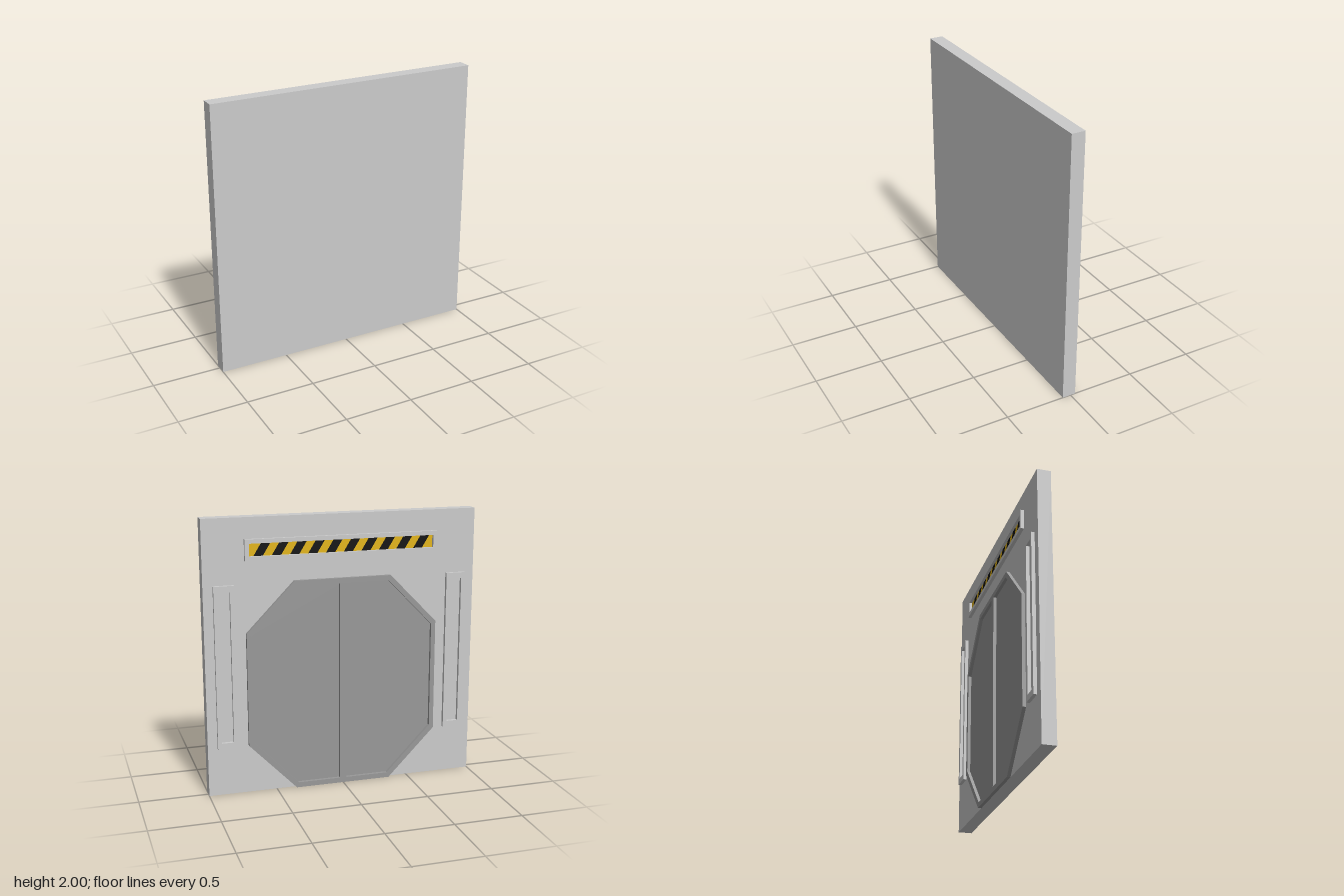
import * as THREE from 'three';

const WALL = 0.1, RELIEF = 0.025;
const mat = (color) => new THREE.MeshStandardMaterial({ color, flatShading: true });

const polygon = (points) => new THREE.Shape(points.map(([x, y]) => new THREE.Vector2(x, y)));
const rect = (x0, x1, y0, y1) => [[x0, y0], [x1, y0], [x1, y1], [x0, y1]];

// Octagon with cut corners, centred on x = 0
function octagon(halfWidth, y0, y1, topHalf, cut) {
  return [
    [-topHalf, y0], [topHalf, y0], [halfWidth, y0 + cut], [halfWidth, y1 - cut],
    [topHalf, y1], [-topHalf, y1], [-halfWidth, y1 - cut], [-halfWidth, y0 + cut],
  ];
}

// Extruded outline, optionally with one hole
function slab(name, outer, inner, z, depth, material) {
  const shape = polygon(outer);
  if (inner) shape.holes.push(polygon(inner));
  const geometry = new THREE.ExtrudeGeometry(shape, { depth, bevelEnabled: false });
  const mesh = new THREE.Mesh(geometry, material);
  mesh.name = name;
  mesh.position.z = z;
  return mesh;
}

export function createModel() {
  const model = new THREE.Group();
  model.name = 'wallWithDoor';
  const grey = mat(0xcccccc), dark = mat(0x999999);
  const yellow = mat(0xe3b518), black = mat(0x111111);

  // Wall slab
  const wall = new THREE.Mesh(new THREE.BoxGeometry(2, 2, WALL), grey);
  wall.name = 'wall';
  wall.position.set(0, 1, 0.0125);
  model.add(wall);

  // Everything on the back: local +z points out of the wall
  const relief = new THREE.Group();
  relief.name = 'doorSide';
  relief.rotation.y = Math.PI;
  relief.position.z = 0.0125 - WALL / 2;
  model.add(relief);

  // Octagonal door: frame, two recessed leaves and centre bar
  const outer = octagon(0.705, 0, 1.545, 0.355, 0.36);
  const inner = octagon(0.672, 0.038, 1.507, 0.34, 0.343);
  relief.add(slab('doorFrame', outer, inner, 0, RELIEF, dark));
  for (const side of [-1, 1]) {
    const leaf = [
      [0, 0.038], [0.34, 0.038], [0.672, 0.381], [0.672, 1.164], [0.34, 1.507], [0, 1.507],
    ].map(([x, y]) => [x * side, y]);
    relief.add(slab(side < 0 ? 'leftDoorLeaf' : 'rightDoorLeaf', leaf, null, 0, 0.002, dark));
  }
  relief.add(slab('doorCentreBar', rect(-0.025, 0.025, 0.038, 1.507), null, 0, RELIEF, dark));

  // Tall framed panels beside the door
  for (const side of [-1, 1]) {
    const panel = slab(side < 0 ? 'leftSidePanel' : 'rightSidePanel',
      rect(-0.0725, 0.0725, 0.355, 1.535), rect(-0.043, 0.043, 0.398, 1.492), 0, RELIEF, grey);
    panel.position.x = side * 0.8575;
    relief.add(panel);
  }

  // Warning sign above the door
  const half = 0.675, y0 = 1.73, y1 = 1.82;
  relief.add(slab('signFrame', rect(-0.705, 0.705, 1.7, 1.85), rect(-half, half, y0, y1), 0, RELIEF, grey));
  relief.add(slab('signPlate', rect(-half, half, y0, y1), null, 0, 0.003, yellow));
  for (let i = 0; i < 10; i++) {
    const x = -half + 0.035 + i * 0.13, width = 0.066, lean = 0.055;
    const stripe = [[x, y0], [x + width, y0], [x + width + lean, y1], [x + lean, y1]];
    relief.add(slab('signStripe', stripe, null, 0.002, 0.003, black));
  }

  return model;
}
